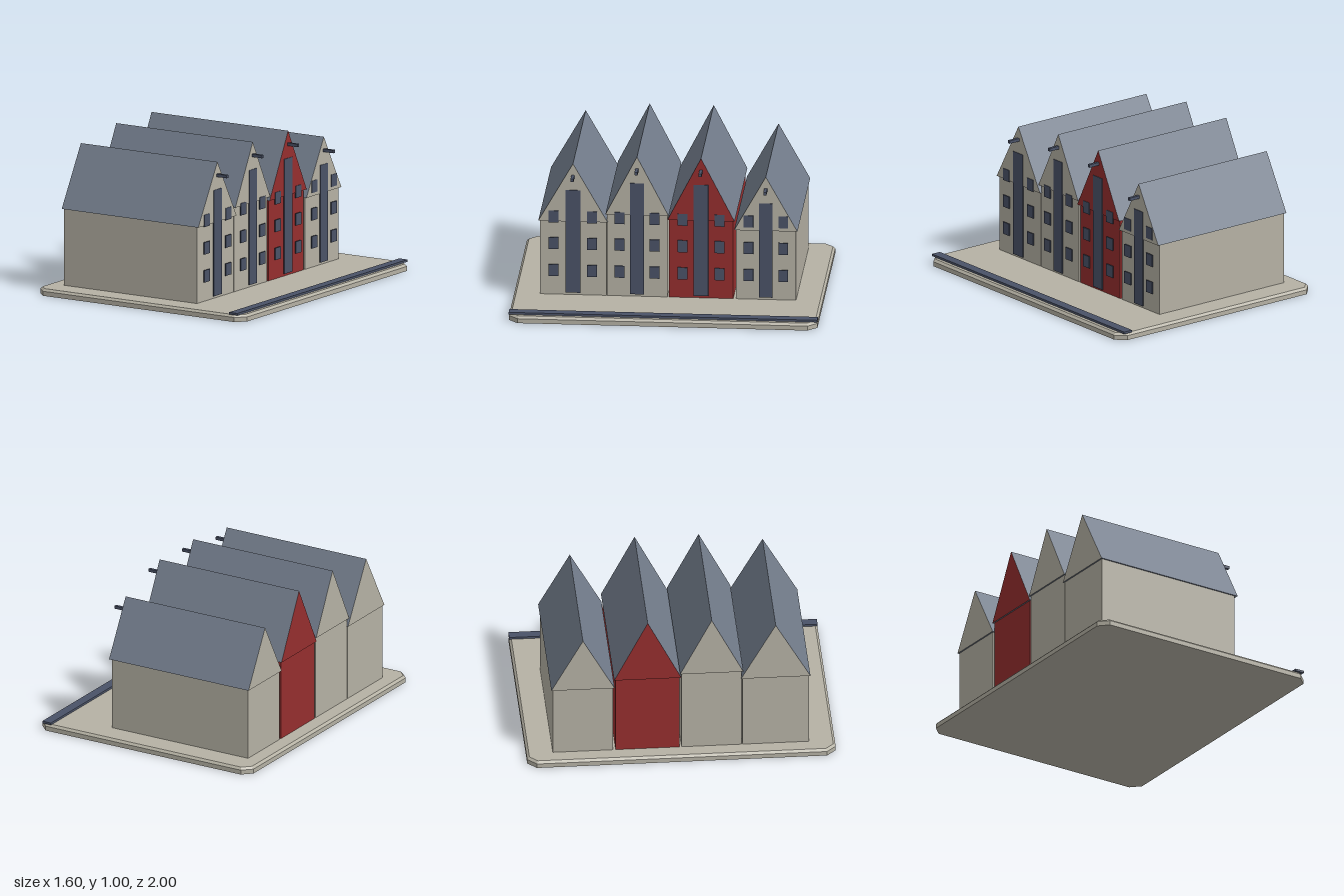
import * as THREE from 'three';
import { ConvexGeometry } from 'three/addons/geometries/ConvexGeometry.js';

const material = (name, color) => {
  const m = new THREE.MeshStandardMaterial({ color });
  m.name = name;
  return m;
};

export function createModel() {
  const stone = material('stone', 0xb5b1a4);
  const red = material('red', 0x952e2e);
  const slate = material('slate', 0x747e8d);
  const navy = material('navy', 0x4a5267);

  const model = new THREE.Group();
  model.name = 'rowOfHouses';

  const add = (parent, name, geometry, mat) => {
    const mesh = new THREE.Mesh(geometry, mat);
    mesh.name = name;
    parent.add(mesh);
    return mesh;
  };

  // Box given by its lower and upper limits on each axis
  const box = (parent, name, mat, x0, x1, y0, y1, z0, z1) =>
    add(parent, name, new THREE.BoxGeometry(x1 - x0, y1 - y0, z1 - z0), mat)
      .position.set((x0 + x1) / 2, (y0 + y1) / 2, (z0 + z1) / 2);

  // Ground slab: cut corners and a bevelled upper rim
  const points = [];
  for (const [y, inset] of [[0, 0], [0.03, 0], [0.045, 0.015]]) {
    const x = 0.8 - inset, z = 1 - inset, cut = 0.06 - inset * 0.6;
    for (const sx of [-1, 1]) for (const sz of [-1, 1]) {
      points.push(new THREE.Vector3(sx * (x - cut), y, sz * z));
      points.push(new THREE.Vector3(sx * x, y, sz * (z - cut)));
    }
  }
  add(model, 'groundSlab', new ConvexGeometry(points), stone);

  // Quay edge along the street side
  box(model, 'quayEdge', navy, 0.7, 0.765, 0.046, 0.06, -1, 1);

  // Gabled houses in a row, facing +x
  const houses = [
    { z: 0.615, width: 0.43, eave: 0.55, apex: 0.945, mat: stone },
    { z: 0.2, width: 0.39, eave: 0.604, apex: 1.003, mat: stone },
    { z: -0.215, width: 0.415, eave: 0.578, apex: 1.003, mat: red },
    { z: -0.635, width: 0.39, eave: 0.52, apex: 0.888, mat: stone },
  ];
  for (const { z, width, eave, apex, mat } of houses) {
    const house = new THREE.Group();
    house.name = 'house';
    house.position.z = z;
    model.add(house);

    box(house, 'walls', mat, -0.69, 0.34, 0.04, eave, -width / 2, width / 2);

    // Roof prism: gable ends in the wall colour, slopes in slate
    const half = width / 2 + 0.01;
    const gable = new THREE.Shape([
      new THREE.Vector2(-half, eave), new THREE.Vector2(half, eave), new THREE.Vector2(0, apex),
    ]);
    const roof = new THREE.ExtrudeGeometry(gable, { depth: 1.057, bevelEnabled: false });
    roof.rotateY(Math.PI / 2).translate(-0.7, 0, 0);
    add(house, 'roof', roof, [mat, slate]);

    // Tall loading doors in the middle of the front
    const door = width * 0.114;
    box(house, 'loadingDoors', navy, 0.353, 0.361, 0.065, apex - 0.18, -door, door);

    // Three rows of windows on either side
    for (const side of [-1, 1]) for (const y of [0.215, 0.4, 0.582]) {
      const c = side * width * 0.29;
      box(house, 'window', navy, 0.353, 0.361, y - 0.04, y + 0.04, c - 0.032, c + 0.032);
    }

    // Hoist beam below the ridge
    const beam = apex - 0.088;
    box(house, 'hoistBeam', navy, 0.34, 0.435, beam - 0.01, beam + 0.01, -0.01, 0.01);
  }
  return model;
}
